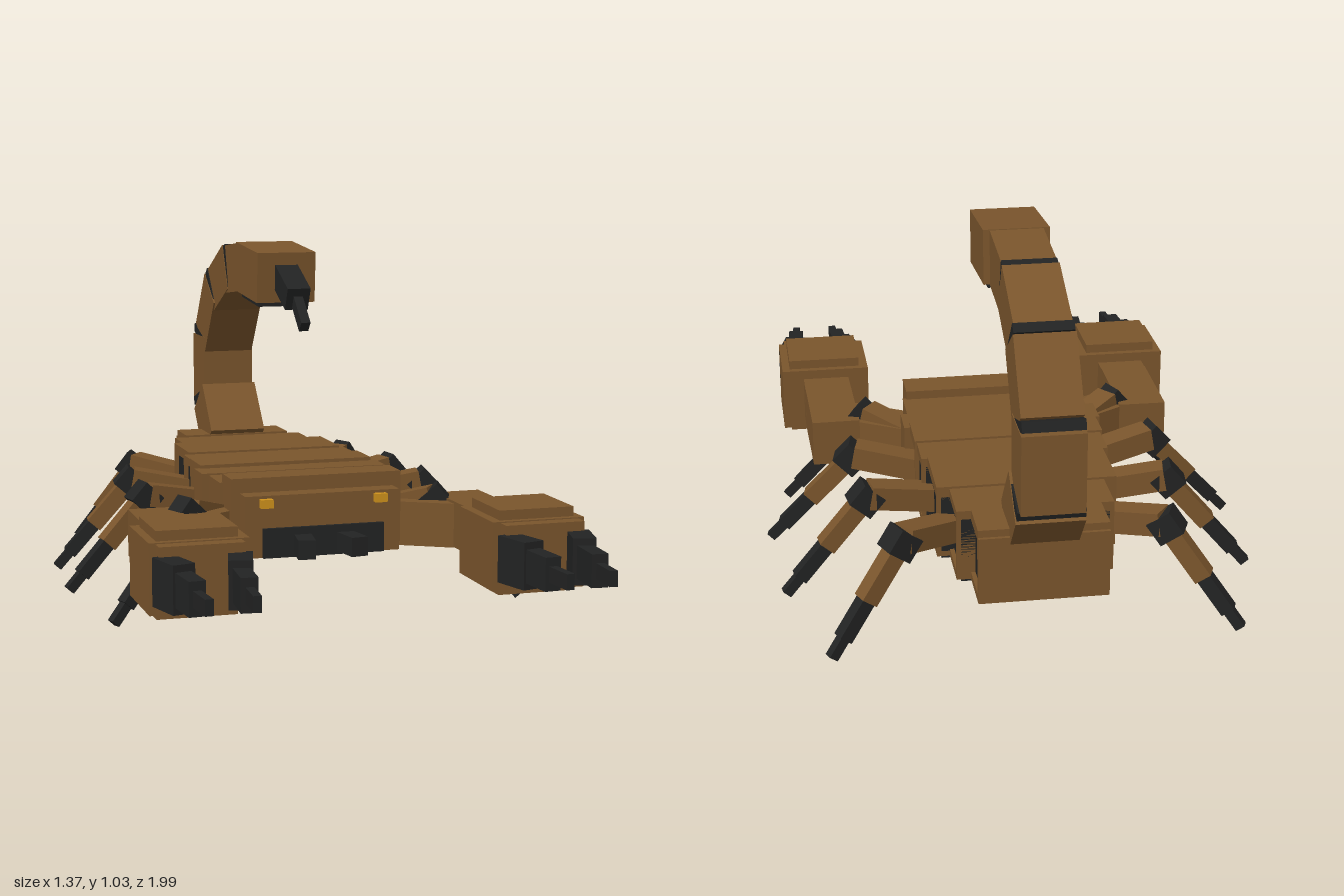
import * as THREE from 'three';

export function createModel() {
  const mat = (name, color) => {
    const m = new THREE.MeshStandardMaterial({ color });
    m.name = name;
    return m;
  };
  const brown = mat('brown shell', 0x7a552c);
  const black = mat('black chitin', 0x222323);
  const amber = mat('amber eye', 0xcf921c);
  const root = new THREE.Group();
  root.name = 'scorpion';

  const group = (name, parent = root) => {
    const g = new THREE.Group();
    g.name = name;
    parent.add(g);
    return g;
  };
  // Axis-aligned box from its min and max on each axis
  const box = (parent, name, m, [x0, x1], [y0, y1], [z0, z1]) => {
    const mesh = new THREE.Mesh(new THREE.BoxGeometry(x1 - x0, y1 - y0, z1 - z0), m);
    mesh.position.set((x0 + x1) / 2, (y0 + y1) / 2, (z0 + z1) / 2);
    mesh.name = name;
    parent.add(mesh);
    return mesh;
  };
  // Box of width w and height h running from point a to point b
  const bar = (parent, name, m, a, b, w, h) => {
    const A = new THREE.Vector3(...a), B = new THREE.Vector3(...b);
    const dir = B.clone().sub(A), len = dir.length();
    dir.normalize();
    const side = Math.abs(dir.x) < 1e-6
      ? new THREE.Vector3(1, 0, 0)
      : new THREE.Vector3(0, 1, 0).cross(dir).normalize();
    const up = dir.clone().cross(side);
    const mesh = new THREE.Mesh(new THREE.BoxGeometry(w, h, len), m);
    mesh.quaternion.setFromRotationMatrix(new THREE.Matrix4().makeBasis(side, up, dir));
    mesh.position.copy(A).add(B).multiplyScalar(0.5);
    mesh.name = name;
    parent.add(mesh);
    return mesh;
  };
  const lerp = (a, b, t) => a.map((v, i) => v + (b[i] - v) * t);

  // Abdomen: tapering shell plates over a dark body
  const abdomen = group('abdomen');
  const bounds = [-0.16, -0.29, -0.4, -0.6, -0.74, -0.87];
  const widths = [0.268, 0.262, 0.245, 0.21, 0.172];
  widths.forEach((w, i) => {
    const z1 = bounds[i], z0 = bounds[i + 1], d = w - 0.012;
    box(abdomen, 'shellPlate', brown, [-w, w], [0.36, 0.39 - (i % 2) * 0.006], [z0, z1]);
    box(abdomen, 'bodySide', black, [-d, d], [0.2, 0.36], [z0, z1]);
    box(abdomen, 'lowerRim', brown, [-w, w], [0.185, 0.205], [z0, z1]);
    box(abdomen, 'belly', black, [-d, d], [0.18, 0.186], [z0, z1]);
    box(abdomen, 'sideRib', brown, [-w, w], [0.2, 0.365], [z0, z0 + 0.012]);
  });
  box(abdomen, 'rearPlate', brown, [-0.172, 0.172], [0.185, 0.37], [-0.88, -0.865]);

  // Head and shoulder plates
  const head = group('head');
  box(head, 'collar', brown, [-0.285, 0.285], [0.2, 0.38], [-0.17, -0.07]);
  box(head, 'shoulders', brown, [-0.265, 0.265], [0.18, 0.375], [-0.14, 0.06]);
  box(head, 'crown', brown, [-0.255, 0.255], [0.19, 0.4], [0.05, 0.15]);
  box(head, 'face', brown, [-0.23, 0.23], [0.18, 0.358], [0.1, 0.21]);
  box(head, 'mouth', black, [-0.18, 0.18], [0.18, 0.265], [0.19, 0.222]);
  for (const s of [-1, 1]) {
    bar(head, 'mandible', black, [s * 0.06, 0.217, 0.2], [s * 0.078, 0.217, 0.31], 0.05, 0.055);
    box(head, 'eye', amber, [s * 0.17 - 0.018, s * 0.17 + 0.018], [0.325, 0.35], [0.205, 0.23]);
  }

  // Legs: root, knee and foot tip, x given for the left side
  const legs = [
    [[0.22, 0.26, 0.0], [0.37, 0.31, 0.11], [0.61, 0.02, 0.205]],
    [[0.22, 0.27, -0.215], [0.43, 0.31, -0.17], [0.675, 0.045, -0.127]],
    [[0.21, 0.27, -0.405], [0.415, 0.31, -0.445], [0.65, 0.04, -0.475]],
    [[0.17, 0.27, -0.585], [0.35, 0.31, -0.725], [0.55, 0.02, -0.81]],
  ];
  for (const s of [-1, 1]) {
    const flip = ([x, y, z]) => [s * x, y, z];
    for (const pts of legs) {
      const leg = group('leg');
      const [a, k, t] = pts.map(flip);
      bar(leg, 'thigh', brown, a, k, 0.07, 0.065);
      bar(leg, 'knee', black, lerp(k, t, -0.06), lerp(k, t, 0.13), 0.068, 0.075);
      bar(leg, 'shin', brown, lerp(k, t, 0.1), lerp(k, t, 0.52), 0.046, 0.05);
      bar(leg, 'foot', black, lerp(k, t, 0.48), lerp(k, t, 0.84), 0.036, 0.04);
      bar(leg, 'footTip', black, lerp(k, t, 0.8), t, 0.025, 0.028);
    }

    // Claw arm
    const arm = group('clawArm');
    const abox = (name, m, [x0, x1], y, z) =>
      box(arm, name, m, s > 0 ? [x0, x1] : [-x1, -x0], y, z);
    const abar = (name, m, a, b, w, h) => bar(arm, name, m, flip(a), flip(b), w, h);
    abar('upperArm', brown, [0.21, 0.24, 0.03], [0.45, 0.24, 0.17], 0.13, 0.13);
    abar('forearm', brown, [0.465, 0.245, 0.06], [0.47, 0.245, 0.36], 0.14, 0.135);
    abox('wrist', brown, [0.4, 0.54], [0.182, 0.31], [0.34, 0.42]);
    abox('palm', brown, [0.338, 0.605], [0.148, 0.338], [0.415, 0.655]);
    abox('palmPlate', brown, [0.365, 0.582], [0.132, 0.365], [0.435, 0.635]);
    abox('palmFront', brown, [0.36, 0.588], [0.155, 0.335], [0.6, 0.695]);
    // Two stepped pincers, bending inward to the tips
    for (const side of [-1, 1]) {
      const x = d => 0.472 + side * d;
      abar('pincerBase', black, [x(0.102), 0.245, 0.68], [x(0.073), 0.245, 0.79], 0.063, 0.128);
      abar('pincerMiddle', black, [x(0.078), 0.245, 0.76], [x(0.066), 0.245, 0.9], 0.045, 0.09);
      abar('pincerTip', black, [x(0.068), 0.245, 0.88], [x(0.06), 0.245, 0.995], 0.022, 0.042);
    }
  }

  // Tail: curled chain of boxes, [startY, startZ, endY, endZ, width]
  const tail = group('tail');
  const segments = [
    [0.355, -0.785, 0.495, -0.905, 0.18],
    [0.485, -0.923, 0.7, -0.923, 0.165],
    [0.695, -0.91, 0.868, -0.787, 0.16],
    [0.86, -0.79, 0.95, -0.6, 0.15],
    [0.943, -0.6, 0.964, -0.4, 0.145],
    [0.965, -0.41, 0.945, -0.16, 0.18],
  ];
  segments.forEach(([y0, z0, y1, z1, w], i) => {
    bar(tail, 'tailSegment', brown, [0, y0, z0], [0, y1, z1], w, 0.15);
    const next = segments[i + 1];
    if (!next || i === 4) return;
    // Dark joint showing in the gap between segments
    const dy = y1 - y0 + next[2] - next[0], dz = z1 - z0 + next[3] - next[1];
    const k = 0.014 / Math.hypot(dy, dz);
    bar(tail, 'tailJoint', black, [0, y1 - dy * k, z1 - dz * k],
      [0, y1 + dy * k, z1 + dz * k], Math.max(w, next[4]) - 0.004, 0.142);
  });
  bar(tail, 'tailUnderside', black, [0, 0.882, -0.39], [0, 0.866, -0.2], 0.15, 0.02);
  bar(tail, 'stingerBase', black, [0, 0.955, -0.18], [0, 0.89, -0.04], 0.07, 0.07);
  bar(tail, 'stingerTip', black, [0, 0.905, -0.07], [0, 0.815, 0.03], 0.028, 0.036);

  return root;
}
